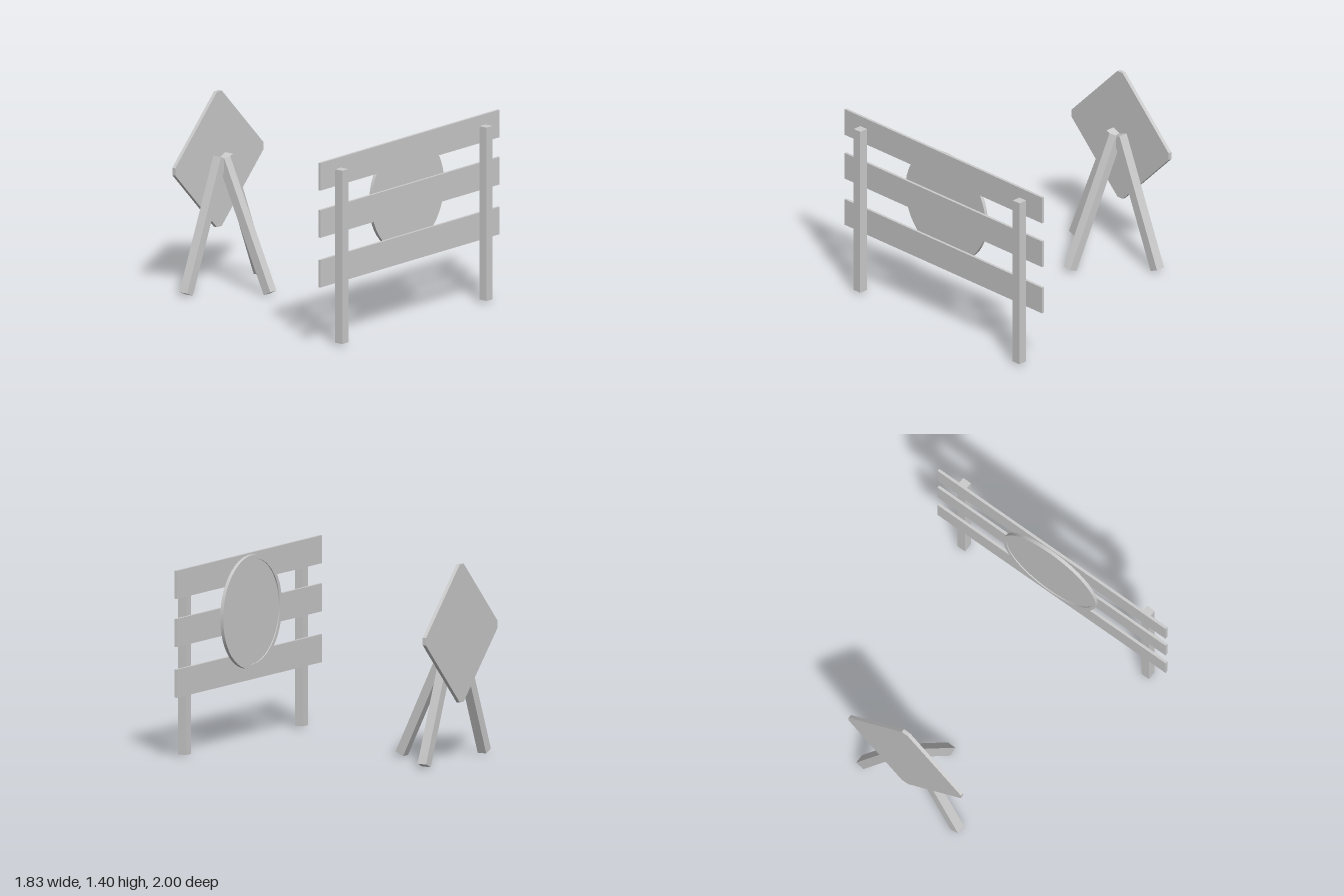
import * as THREE from 'three';
import { toCreasedNormals } from 'three/addons/utils/BufferGeometryUtils.js';

const material = new THREE.MeshStandardMaterial({ color: 0xcccccc });

function addMesh(parent, name, geometry, x = 0, y = 0, z = 0) {
  const mesh = new THREE.Mesh(geometry, material);
  mesh.name = name;
  mesh.position.set(x, y, z);
  parent.add(mesh);
  return mesh;
}

// Square bar running between two end centres
function addBar(parent, name, from, to, width) {
  const a = new THREE.Vector3(...from), b = new THREE.Vector3(...to);
  const bar = addMesh(parent, name, new THREE.BoxGeometry(width, a.distanceTo(b), width));
  bar.position.copy(a).add(b).multiplyScalar(0.5);
  bar.quaternion.setFromUnitVectors(new THREE.Vector3(0, 1, 0), b.sub(a).normalize());
  return bar;
}

// Flat shape given a thickness along x, starting at x = 0
function panel(shape, thickness, curveSegments = 12) {
  return new THREE.ExtrudeGeometry(shape, { depth: thickness, bevelEnabled: false, curveSegments })
    .rotateY(Math.PI / 2);
}

function createBarrier() {
  const barrier = new THREE.Group();
  barrier.name = 'barrier';

  // Three planks across two posts
  for (const y of [0.551, 0.913, 1.256]) {
    addMesh(barrier, 'plank', new THREE.BoxGeometry(0.02, 0.2, 2), 0.835, y, 0);
  }
  for (const side of [-1, 1]) {
    addMesh(barrier, 'post', new THREE.BoxGeometry(0.067, 1.26, 0.067), 0.879, 0.65, side * 0.806);
  }

  // Round sign with a raised rim
  const ring = new THREE.Shape().absarc(0, 0, 0.405, 0, Math.PI * 2);
  ring.holes.push(new THREE.Path().absarc(0, 0, 0.375, 0, Math.PI * 2, true));
  addMesh(barrier, 'roundSignRim', toCreasedNormals(panel(ring, 0.025, 24), 0.6), 0.8, 0.94, 0);
  const disc = new THREE.CylinderGeometry(0.38, 0.38, 0.017, 48).rotateZ(Math.PI / 2);
  addMesh(barrier, 'roundSignFace', disc, 0.8165, 0.94, 0);
  return barrier;
}

function createTripodSign() {
  const stand = new THREE.Group();
  stand.name = 'tripodSign';

  // Diamond board with clipped corners
  const r = 0.492, c = 0.027;
  const corners = [[r, c], [c, r], [-c, r], [-r, c], [-r, -c], [-c, -r], [c, -r], [r, -c]];
  const diamond = new THREE.Shape(corners.map(([x, y]) => new THREE.Vector2(x, y)));
  addMesh(stand, 'diamondBoard', panel(diamond, 0.027), -0.917, 0.918, 0);

  // Two splayed legs and one rear prop
  for (const side of [-1, 1]) {
    addBar(stand, 'sideLeg', [-0.855, 0.022, side * 0.414], [-0.855, 0.941, side * 0.034], 0.07);
  }
  addBar(stand, 'rearLeg', [-0.415, 0.022, 0.017], [-0.85, 0.927, 0], 0.068);
  return stand;
}

export function createModel() {
  const model = new THREE.Group();
  model.name = 'roadBarrierAndSign';
  model.add(createBarrier(), createTripodSign());
  return model;
}
